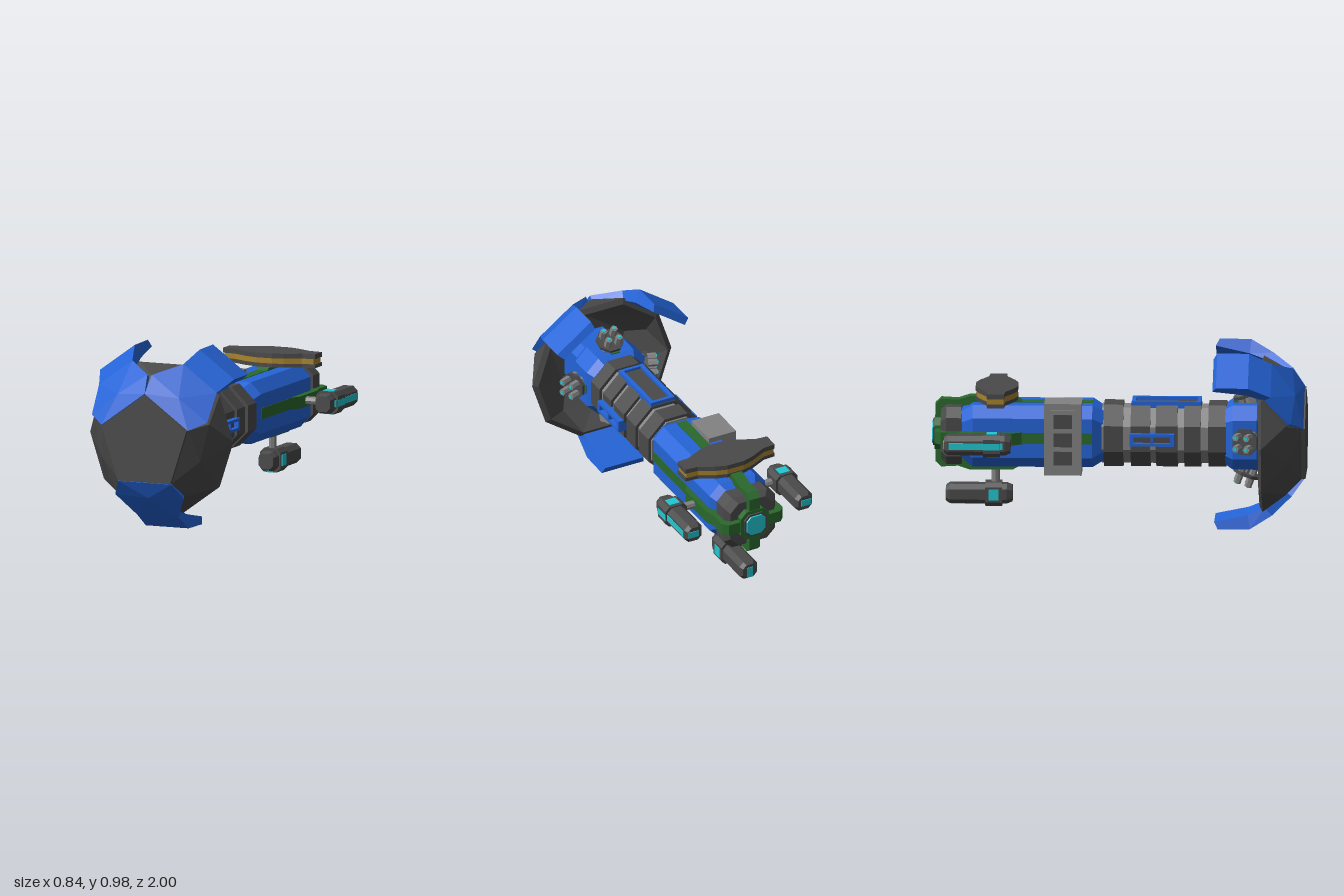
import * as THREE from 'three';

const mat = (name, color) => Object.assign(new THREE.MeshStandardMaterial({ color, flatShading: true }), { name });
const V = (x, y, z) => new THREE.Vector3(x, y, z);
const polar = (deg, r, z) => V(r * Math.cos(deg * Math.PI / 180), r * Math.sin(deg * Math.PI / 180), z);

function fromTriangles(points, faces) {
  const g = new THREE.BufferGeometry().setFromPoints(faces.flat().map(i => points[i]));
  g.computeVertexNormals();
  return g;
}

// Closed solid through rings listed from low z to high z, each counter-clockwise seen from +z
function loft(rings) {
  const n = rings[0].length, faces = [], last = (rings.length - 1) * n;
  for (let k = 0; k < rings.length - 1; k++) for (let i = 0; i < n; i++) {
    const a = k * n + i, b = k * n + (i + 1) % n;
    faces.push([a, b, b + n], [a, b + n, a + n]);
  }
  for (let i = 1; i < n - 1; i++) faces.push([0, i + 1, i], [last, last + i, last + i + 1]);
  return fromTriangles(rings.flat(), faces);
}

// Thick shell: outer faces, reversed inner faces and a stitched rim
function shell(outer, inner, faces) {
  const n = outer.length, all = [...faces], edges = new Set();
  for (const [a, b, c] of faces) {
    all.push([c + n, b + n, a + n]);
    edges.add(`${a},${b}`).add(`${b},${c}`).add(`${c},${a}`);
  }
  for (const e of edges) {
    const [a, b] = e.split(',').map(Number);
    if (!edges.has(`${b},${a}`)) all.push([b, a, a + n], [b, a + n, b + n]);
  }
  return fromTriangles([...outer, ...inner], all);
}

// Rectangle ring with cut corners
const oct = (w, h, c, z) => [[w, c - h], [w, h - c], [w - c, h], [c - w, h], [-w, h - c], [-w, c - h], [c - w, -h], [w - c, -h]]
  .map(([x, y]) => V(x, y, z));
const box = (w, h, d, x, y, z) => new THREE.BoxGeometry(w, h, d).translate(x, y, z);
const extrude = (shape, depth) => new THREE.ExtrudeGeometry(shape, { depth, bevelEnabled: false });
const polygon = pts => new THREE.Shape(pts.map(([x, y]) => new THREE.Vector2(x, y)));
const rect = (w, h, x = 0) => [[x - w / 2, -h / 2], [x + w / 2, -h / 2], [x + w / 2, h / 2], [x - w / 2, h / 2]];

export function createModel() {
  const blue = mat('blue armour', 0x2464d8), dark = mat('dark grey metal', 0x4a4a4a), grey = mat('light grey metal', 0x828282),
    green = mat('green trim', 0x2a682c), cyan = mat('cyan glow', 0x22c6d0), gold = mat('gold band', 0xa8842a);
  const model = new THREE.Group();
  const ship = new THREE.Group();
  ship.name = 'ship';
  ship.position.y = 0.5;
  model.add(ship);
  const add = (name, geometry, material, parent = ship) => {
    const m = new THREE.Mesh(geometry, material);
    m.name = name;
    parent.add(m);
    return m;
  };
  const group = (name, parent = ship) => {
    const g = new THREE.Group();
    g.name = name;
    parent.add(g);
    return g;
  };

  // Faceted nose shield: per sector a front corner, a bulge, a ridge point and two rim points
  const dome = (dr, dz) => [0, 1, 2, 3, 4].flatMap(k => {
    const a = 18 + 72 * k;
    return [polar(a, 0.262 - dr, 0.98 - dz), polar(a + 36, 0.305 - dr, 0.915 - dz), polar(a, 0.355 - dr, 0.9 - dz),
      polar(a - 18, 0.42 - dr, 0.77 - dz / 3), polar(a + 18, 0.42 - dr, 0.77 - dz / 3)];
  });
  const domeFaces = [[0, 5, 10], [0, 10, 15], [0, 15, 20]];
  for (let k = 0; k < 5; k++) {
    const [p, a, b, d, e] = [0, 1, 2, 3, 4].map(i => 5 * k + i), m = 5 * ((k + 1) % 5);
    domeFaces.push([p, a, m], [p, b, a], [m, a, m + 2], [b, e, a], [a, e, m + 3], [a, m + 3, m + 2], [b, d, e]);
  }
  add('noseShield', shell(dome(0, 0), dome(0.03, 0.05), domeFaces), dark);
  add('nosePlate', loft([0.97, 1].map(z => [18, 90, 162, 234, 306].map(a => polar(a, 0.262, z)))), dark);

  // Three swept armour claws over the shield
  const clawRows = [[36, 0.266, 0.992], [34, 0.36, 0.928], [16, 0.438, 0.82], [14.2, 0.512, 0.7], [14.2, 0.515, 0.53]];
  const clawInner = [[36, 0.25, 0.95], [34, 0.33, 0.89], [16, 0.4, 0.78], [14.2, 0.435, 0.69], [14.2, 0.475, 0.51]];
  const clawFaces = [[1, 0, 10], [0, 2, 10], [2, 4, 10], [4, 5, 10], [5, 3, 10], [3, 1, 10],
    [5, 4, 6], [5, 6, 7], [7, 6, 8], [7, 8, 9]];
  for (const dir of [54, 126, 270]) {
    const pts = (rows, r, z) => [...rows.flatMap(([a, q, w]) => [polar(dir - a, q, w), polar(dir + a, q, w)]), polar(dir, r, z)];
    add('armourClaw', shell(pts(clawRows, 0.305, 0.945), pts(clawInner, 0.28, 0.88), clawFaces), blue);
  }

  // Neck block behind the shield, with a gun cluster on each side
  add('neckBlock', loft([oct(0.15, 0.15, 0.06, 0.57), oct(0.175, 0.175, 0.07, 0.61), oct(0.175, 0.175, 0.07, 0.74),
    oct(0.14, 0.14, 0.05, 0.79), oct(0.14, 0.14, 0.05, 0.95)]), blue);
  for (let i = 0; i < 4; i++) {
    const side = group('neckSide');
    side.rotation.z = i * Math.PI / 2;
    add('neckStripe', box(0.05, 0.008, 0.13, 0, 0.175, 0.675), green, side);
    const guns = group('gunCluster', side);
    guns.position.set(0, 0.16, 0.7);
    guns.rotation.x = -0.36;
    add('gunBase', new THREE.CylinderGeometry(0.035, 0.045, 0.06, 8).translate(0, 0.02, 0), grey, guns);
    add('gunDisc', new THREE.CylinderGeometry(0.076, 0.076, 0.016, 8).rotateY(Math.PI / 8).translate(0, 0.06, 0), dark, guns);
    for (const x of [-0.031, 0.031]) for (const z of [-0.031, 0.031]) {
      add('gunBarrel', new THREE.CylinderGeometry(0.02, 0.02, 0.11, 6).translate(x, 0.065, z), grey, guns);
      add('gunLight', new THREE.CylinderGeometry(0.01, 0.01, 0.006, 6).translate(x, 0.122, z), cyan, guns);
    }
  }

  // Ringed middle section
  add('midCore', loft([oct(0.15, 0.15, 0.088, -0.09), oct(0.15, 0.15, 0.088, 0.58)]), grey);
  for (const [z0, z1] of [[-0.08, 0.025], [0.065, 0.17], [0.2, 0.315], [0.35, 0.44], [0.48, 0.575]])
    add('hullRing', loft([oct(0.167, 0.167, 0.097, z0), oct(0.167, 0.167, 0.097, z1)]), dark);

  // Framed windows; local x runs along the ship and local z points outward
  const windowFrame = (name, len, wide, holes, height, rotate, z) => {
    const f = group(name), s = polygon(rect(len, wide));
    for (const h of holes) s.holes.push(polygon(h));
    add('frame', extrude(s, height - 0.15).translate(0, 0, 0.15), blue, f);
    add('pane', box(len - 0.02, wide - 0.02, 0.02, 0, 0, 0.163), dark, f);
    f.rotation.set(...rotate);
    f.position.z = z;
  };
  windowFrame('topWindow', 0.37, 0.145, [rect(0.33, 0.1)], 0.187, [-Math.PI / 2, 0, Math.PI / 2], 0.255);
  const pair = [rect(0.09, 0.035, -0.052), rect(0.09, 0.035, 0.052)];
  windowFrame('leftWindow', 0.24, 0.066, pair, 0.2, [0, Math.PI / 2, 0], 0.32);
  windowFrame('rightWindow', 0.24, 0.066, pair, 0.2, [0, -Math.PI / 2, 0], 0.18);

  // Rear hull with stripes on its four sides
  add('rearHull', loft([oct(0.12, 0.12, 0.05, -0.85), oct(0.167, 0.167, 0.06, -0.78), oct(0.167, 0.167, 0.06, -0.14),
    oct(0.135, 0.135, 0.06, -0.08)]), blue);
  for (let i = 0; i < 4; i++)
    add('hullStripe', box(0.06, 0.008, 0.64, 0, 0.166, -0.46).rotateZ(i * Math.PI / 2), green);

  // Side equipment clamp with dark vents
  add('sideClamp', box(0.165, 0.39, 0.2, -0.115, 0, -0.295), grey);
  add('clampCover', box(0.012, 0.32, 0.13, -0.202, 0, -0.295), grey);
  for (const y of [-0.1, 0, 0.1]) add('clampVent', box(0.008, 0.075, 0.1, -0.206, y, -0.295), dark);

  // Engine block, wrapping straps and tail light
  add('engineBlock', loft([oct(0.13, 0.13, 0.05, -0.95), oct(0.155, 0.155, 0.05, -0.92), oct(0.155, 0.155, 0.05, -0.84)]), dark);
  const outer = [[0.16, -0.5], [0.2, -0.57], [0.2, -0.8], [0.18, -0.86], [0.185, -0.95], [0.155, -0.982]];
  const inner = [[0.13, -0.94], [0.15, -0.92], [0.145, -0.84], [0.155, -0.79], [0.155, -0.5]];
  const half = [...outer, [0, -0.982], [0, -0.94], ...inner];
  for (const s of [1, -1]) for (const turn of [0, Math.PI / 2])
    add('strap', extrude(polygon(half.map(([x, z]) => [s * x, z])), 0.065).rotateX(Math.PI / 2).translate(0, 0.0325, 0).rotateZ(turn), green);
  add('tailFrame', loft([oct(0.085, 0.085, 0.035, -0.985), oct(0.085, 0.085, 0.035, -0.93)]), green);
  add('tailHub', loft([oct(0.068, 0.068, 0.03, -0.994), oct(0.068, 0.068, 0.03, -0.95)]), dark);
  add('tailLight', loft([oct(0.055, 0.055, 0.025, -1), oct(0.058, 0.058, 0.025, -0.992)]), cyan);

  // Layered sensor bar above the tail
  const bar = k => {
    const rear = [[0.27, 0.045], [0.2, 0.05], [0.11, 0.095], [0.05, 0.113]];
    const flip = (p, sx, sz) => p.map(([x, z]) => [sx * x * k, sz * z * k]);
    return polygon([...flip(rear, 1, 1), ...flip([...rear].reverse(), -1, 1), ...flip(rear, -1, -1), ...flip([...rear].reverse(), 1, -1)]);
  };
  for (const [name, k, y, t, m] of [['sensorTop', 1, 0.26, 0.026, dark], ['sensorBand', 0.97, 0.236, 0.032, gold], ['sensorBase', 1, 0.205, 0.02, dark]])
    add(name, extrude(bar(k), t).rotateX(Math.PI / 2).translate(0, y, -0.653), m);
  add('sensorStrut', box(0.07, 0.1, 0.07, 0, 0.15, -0.66), dark);

  // Three thruster pods: left, right and below; local x points away from the hull
  for (const angle of [0, Math.PI, -Math.PI / 2]) {
    const pod = group('thrusterPod');
    pod.rotation.z = angle;
    add('podStrut', new THREE.CylinderGeometry(0.022, 0.022, 0.16, 8).rotateZ(Math.PI / 2).translate(0.22, 0, -0.66), grey, pod);
    add('podBody', loft([oct(0.04, 0.04, 0.02, -0.925), oct(0.053, 0.053, 0.025, -0.905), oct(0.053, 0.053, 0.025, -0.6),
      oct(0.042, 0.042, 0.02, -0.57)]).translate(0.333, 0, 0), dark, pod);
    add('podCollar', loft([oct(0.064, 0.06, 0.022, -0.715), oct(0.064, 0.06, 0.022, -0.625)]).translate(0.333, 0, 0), dark, pod);
    add('podStripe', box(0.008, 0.036, 0.29, 0.385, 0, -0.755), cyan, pod);
    add('collarStripe', box(0.006, 0.036, 0.09, 0.396, 0, -0.67), cyan, pod);
    add('podRearLight', box(0.06, 0.036, 0.008, 0.34, 0, -0.925), cyan, pod);
    for (const s of [1, -1]) add('collarLight', box(0.06, 0.008, 0.055, 0.333, s * 0.06, -0.67), cyan, pod);
  }
  return model;
}
